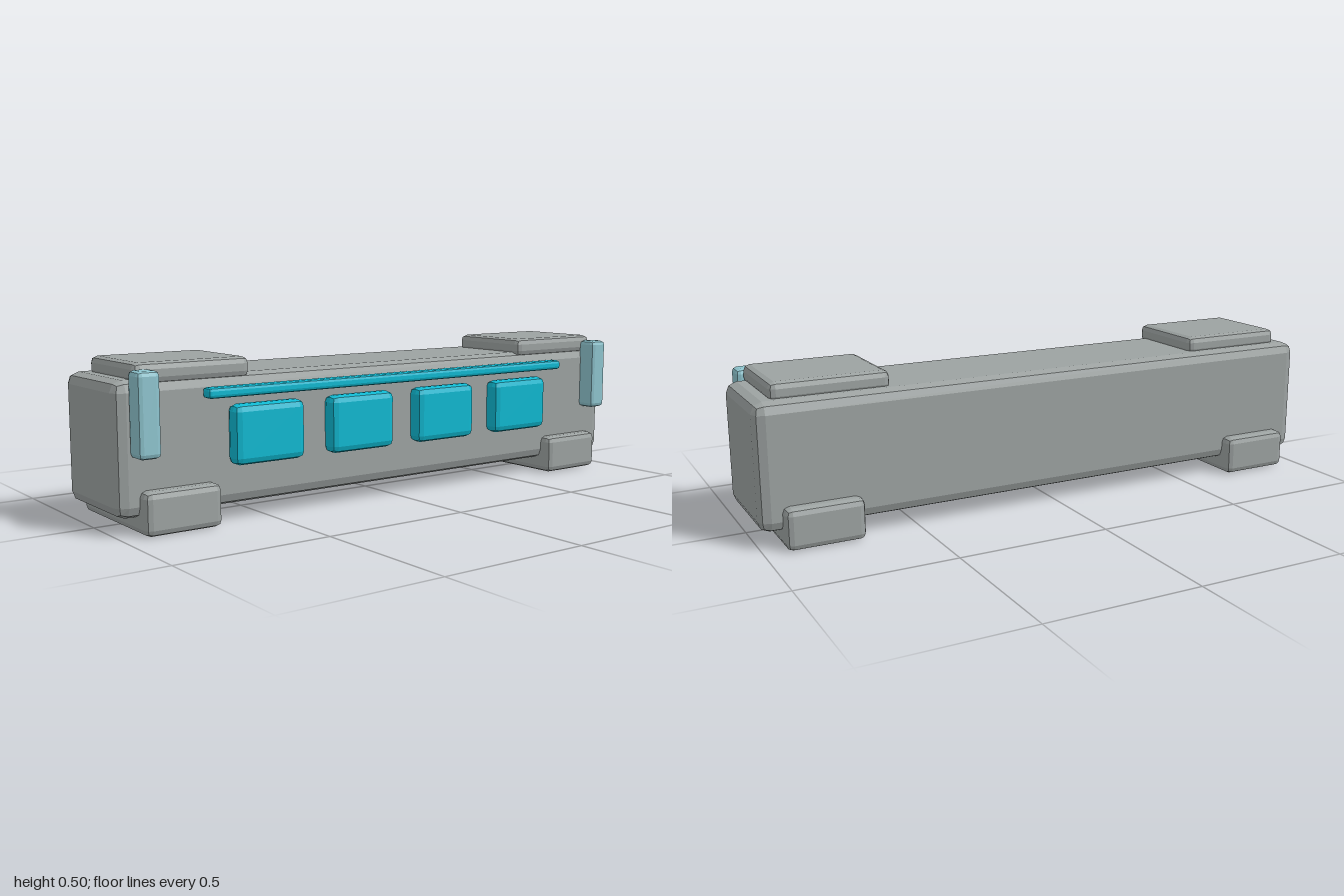
import * as THREE from 'three';
import { RoundedBoxGeometry } from 'three/addons/geometries/RoundedBoxGeometry.js';

export function createModel() {
  const model = new THREE.Group();
  model.name = 'consoleUnit';

  const material = (name, color) => {
    const m = new THREE.MeshStandardMaterial({ color });
    m.name = name;
    return m;
  };
  const grey = material('casing grey', 0x9ca2a1);
  const cyan = material('panel cyan', 0x0fb8d0);
  const paleCyan = material('lamp pale cyan', 0x8ec4ce);

  // Box with faceted two-step bevels, given by its extents on each axis
  function block(name, mat, [x0, x1], [y0, y1], [z0, z1], bevel) {
    const geometry = new RoundedBoxGeometry(x1 - x0, y1 - y0, z1 - z0, 1, bevel);
    geometry.computeVertexNormals(); // unshared corners give flat facets
    const mesh = new THREE.Mesh(geometry, mat);
    mesh.name = name;
    mesh.position.set((x0 + x1) / 2, (y0 + y1) / 2, (z0 + z1) / 2);
    model.add(mesh);
  }

  // Extents mirrored to the given side
  const side = (s, a, b) => (s > 0 ? [a, b] : [-b, -a]);

  // Long casing
  block('body', grey, [-1, 1], [0.05, 0.449], [-0.191, 0.175], 0.035);

  // Feet, roof pads and end lamps
  for (const s of [1, -1]) {
    const label = s > 0 ? 'left' : 'right';
    block(label + 'Foot', grey, side(s, 0.685, 0.932), [0, 0.131], [-0.234, 0.218], 0.02);
    block(label + 'RoofPad', grey, side(s, 0.56, 0.938), [0.434, 0.497], [-0.143, 0.173], 0.02);
    block(label + 'Lamp', paleCyan, side(s, 0.886, 0.958), [0.229, 0.479], [0.165, 0.236], 0.015);
  }

  // Row of four front panels
  for (let i = 0; i < 4; i++) {
    const x = (i - 1.5) * 0.348;
    block('frontPanel' + (i + 1), cyan, [x - 0.124, x + 0.124], [0.177, 0.361], [0.172, 0.232], 0.022);
  }

  // Thin strip above the panels
  block('lightStrip', cyan, [-0.728, 0.728], [0.384, 0.416], [0.178, 0.224], 0.01);

  return model;
}
